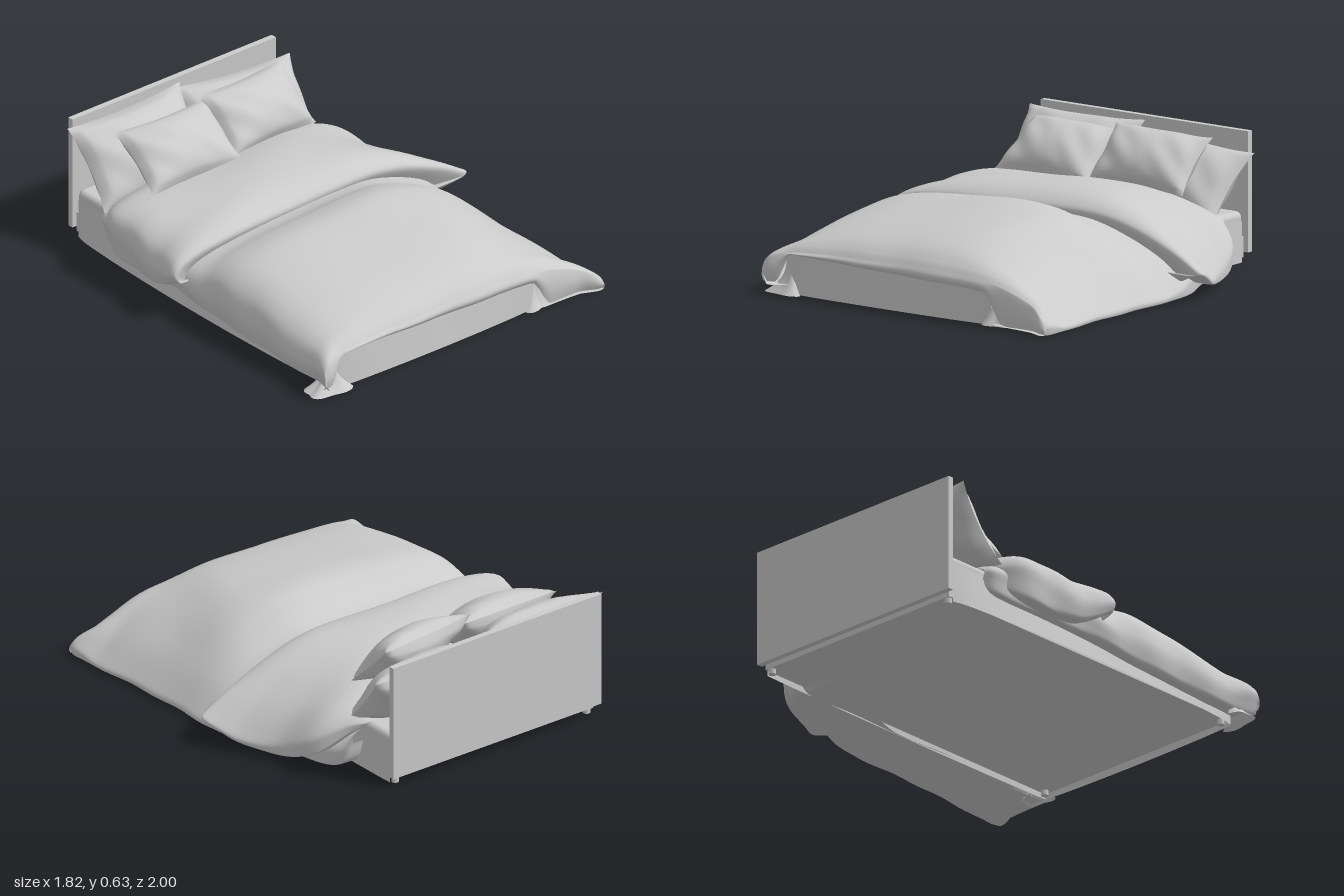
import * as THREE from 'three';
import { RoundedBoxGeometry } from 'three/addons/geometries/RoundedBoxGeometry.js';

const grey = new THREE.MeshStandardMaterial({ color: 0xcccccc, side: THREE.DoubleSide });
const smooth = THREE.MathUtils.smoothstep;

// Catmull-Rom through a list of equally long number rows, t in 0..1
function spline(rows, t) {
  const n = rows.length - 1;
  const i = Math.min(Math.floor(t * n), n - 1), f = t * n - i;
  const at = (k) => rows[Math.max(0, Math.min(n, k))];
  return rows[0].map((_, c) => {
    const [a, b, d, e] = [at(i - 1)[c], at(i)[c], at(i + 1)[c], at(i + 2)[c]];
    return b + 0.5 * f * (d - a + f * (2 * a - 5 * b + 4 * d - e + f * (3 * (b - d) + e - a)));
  });
}

// Sheet whose vertices are placed by rule(u, v), u left to right, v back to front
function sheet(nu, nv, rule) {
  const g = new THREE.PlaneGeometry(2, 2, nu, nv);
  const p = g.attributes.position;
  for (let i = 0; i < p.count; i++) {
    p.setXYZ(i, ...rule((p.getX(i) + 1) / 2, (1 - p.getY(i)) / 2));
  }
  g.computeVertexNormals();
  return g;
}

function add(parent, name, geometry, x = 0, y = 0, z = 0) {
  const m = new THREE.Mesh(geometry, grey);
  m.name = name;
  m.position.set(x, y, z);
  parent.add(m);
  return m;
}

// Arched cross-section with its ends turned in underneath: [across -1..1, height 0..1]
const arch = [[-0.86, -0.01], [-0.96, -0.02], [-0.99, 0.08], [-1, 0.3], [-0.95, 0.58], [-0.82, 0.78],
  [-0.58, 0.9], [-0.25, 0.96], [0.08, 1], [0.36, 0.95], [0.6, 0.75], [0.82, 0.43], [0.96, 0.14],
  [1, 0.02], [0.94, -0.02], [0.6, -0.01]];

// One cross-section point from a row [z, left, right, hemLeft, hemRight, top];
// the arch grows fuller towards the head between the two depths
function drape(rows, u, v, fullFrom, fullTo) {
  const [z, left, right, hemL, hemR, top] = spline(rows, v);
  const [s, t0] = spline(arch, u);
  const t = t0 > 0 ? Math.pow(t0, 1 - 0.55 * smooth(-z, fullFrom, fullTo)) : t0;
  const k = (s + 1) / 2;
  const hem = hemL + (hemR - hemL) * smooth(k, 0.1, 0.9);
  return { s, t, x: left + (right - left) * k, y: hem + t * (top - hem), z };
}

const duvetRows = [
  [-0.75, -0.74, 0.52, 0.17, 0.15, 0.27],
  [-0.68, -0.79, 0.57, 0.12, 0.02, 0.3],
  [-0.4, -0.81, 0.66, 0.11, 0.01, 0.32],
  [-0.15, -0.825, 0.77, 0.1, 0.01, 0.325],
  [0.0, -0.83, 0.79, 0.09, 0.01, 0.35],
  [0.12, -0.83, 0.79, 0.08, 0.01, 0.41],
  [0.25, -0.83, 0.79, 0.07, 0.01, 0.44],
  [0.45, -0.83, 0.8, 0.06, 0.01, 0.415],
  [0.7, -0.83, 0.82, 0.05, 0.01, 0.365],
  [0.87, -0.83, 0.835, 0.05, 0.01, 0.31],
  [0.95, -0.84, 0.84, 0.05, 0.01, 0.265],
  [0.985, -0.845, 0.83, 0.05, 0.01, 0.225],
];

const foldRows = [
  [-0.76, -0.68, 0.48, 0.24, 0.24, 0.27],
  [-0.7, -0.78, 0.54, 0.18, 0.19, 0.33],
  [-0.6, -0.85, 0.66, 0.13, 0.09, 0.385],
  [-0.42, -0.87, 0.74, 0.11, 0.03, 0.425],
  [-0.26, -0.88, 0.82, 0.12, 0.05, 0.435],
  [-0.15, -0.9, 0.88, 0.16, 0.1, 0.42],
  [-0.08, -0.91, 0.905, 0.2, 0.13, 0.385],
  [-0.055, -0.89, 0.87, 0.2, 0.13, 0.345],
  [-0.09, -0.81, 0.77, 0.15, 0.09, 0.28],
];

// Duvet: the front closes with a lip that rises between the two hanging corners
function duvetPoint(u, v) {
  const body = Math.min(v / 0.93, 1), lip = Math.max(0, (v - 0.93) / 0.07);
  const p = drape(duvetRows, u, body, -0.1, 0.3);
  const front = smooth(p.z, 0.8, 0.985);
  if (p.t > 0) p.y += front * 0.2 * (Math.pow(p.t, 0.55) - p.t);
  const gap = smooth(p.x, -0.79, -0.71) * (1 - smooth(p.x, 0.43, 0.55));
  const corner = 0.05 * (1 - smooth(p.x, -0.8, 0));
  const hem = corner + 0.01 + gap * (0.185 - corner - 0.03 * (p.x + 0.7));
  const y = p.y + lip * (Math.min(p.y, hem) - p.y);
  // soft waves on the hanging cloth and diagonal creases over the shoulder
  const side = smooth(Math.abs(p.s), 0.6, 0.95) * (1 - p.t * 0.5);
  const wave = 0.004 * side * Math.sin(p.z * 19 + p.y * 14);
  const crease = 0.006 * Math.sin(9 * (p.z + p.x * 1.2)) * Math.exp(-((p.s - 0.55) ** 2) * 8) * (1 - lip);
  return [p.x + wave * Math.sign(p.s), Math.max(0.003, y + crease),
    p.z + 0.012 * Math.sin(lip * Math.PI) - front * 0.035 * smooth(1 - Math.abs(p.s), 0.02, 0.15)
      + 0.003 * front * Math.sin(p.x * 17)];
}

function foldPoint(u, v) {
  const p = drape(foldRows, u, v, 0.2, 0.65);
  const side = smooth(Math.abs(p.s), 0.55, 0.95);
  const ripple = 0.006 * side * Math.sin(p.z * 22 + p.y * 9) * smooth(-p.z, 0.1, 0.4);
  return [p.x + ripple * Math.sign(p.s), Math.max(0.02, p.y + 0.004 * Math.sin(7 * p.x + 11 * p.z)),
    p.z - 0.025 * p.s + 0.004 * Math.sin(p.x * 8)];
}

// Pillow: two puffed sheets meeting in a seam with pointed corners
function pillow(parent, name, [w, h, depth], position, rotation) {
  const group = new THREE.Group();
  group.name = name;
  for (const face of [1, -1]) {
    add(group, face > 0 ? 'pillowFront' : 'pillowBack', sheet(28, 22, (u, v) => {
      const a = (2 * u - 1) * face, b = 1 - 2 * v;
      const ea = 1 - a * a, eb = 1 - b * b;
      const puff = Math.pow(ea * eb, 0.5);
      const wrinkle = 0.012 * Math.sin(a * 8 + b * 6 * face) * Math.sqrt(ea * eb) * Math.abs(a);
      return [a * w / 2 * (1 - 0.08 * eb), b * h / 2 * (1 - 0.08 * ea), face * (puff * depth / 2 + wrinkle)];
    }));
  }
  group.position.set(...position);
  group.rotation.set(...rotation);
  parent.add(group);
}

export function createModel() {
  const bed = new THREE.Group();
  bed.name = 'bed';
  const midX = -0.135;

  // Headboard, base and mattress
  add(bed, 'headboard', new THREE.BoxGeometry(1.23, 0.575, 0.03), midX, 0.3375, -0.985);
  add(bed, 'bedBase', new THREE.BoxGeometry(1.18, 0.1, 1.89), midX, 0.075, -0.025);
  add(bed, 'mattress', new RoundedBoxGeometry(1.18, 0.15, 1.79, 3, 0.03), midX, 0.17, -0.075);
  for (const x of [-0.7, 0.43]) {
    for (const z of [-0.95, 0.89]) {
      add(bed, 'leg', new THREE.CylinderGeometry(0.018, 0.018, 0.05, 12), x, 0.025, z);
    }
  }

  // Thin cloth skirt round both sides and the foot, each side bowing out to the floor by its flare
  const path = [[-0.73, -0.95], [-0.73, 0.925], [0.46, 0.925], [0.46, -0.95]];
  const outward = [[-1, 0, 0.045], [0, 1, 0.02], [1, 0, 0.01]];
  outward.forEach(([nx, nz, flare], i) => {
    const [a, b] = [path[i], path[i + 1]];
    add(bed, 'skirt', sheet(32, 6, (u, v) => {
      const out = flare * v * Math.sqrt(Math.sin(Math.PI * Math.min(1, Math.max(0, u))));
      return [a[0] + (b[0] - a[0]) * u + nx * out, 0.2 - 0.197 * v, a[1] + (b[1] - a[1]) * u + nz * out];
    }));
  });

  // Gathered skirt cloth spilling on to the floor at the foot corners
  for (const [x, dir, spread] of [[-0.745, -1, 0.11], [0.475, 1, 0.07]]) {
    add(bed, 'cornerCloth', sheet(24, 8, (u, v) => {
      const angle = Math.PI * (u * 1.1 - 0.35);
      const r = 0.025 + spread * v ** 3 + 0.012 * v * Math.sin(u * 16);
      return [x + dir * r * Math.cos(angle), 0.18 - 0.177 * v, 0.9 + 0.6 * r * Math.sin(angle)];
    }));
  }

  // Bedding
  add(bed, 'duvet', sheet(100, 110, duvetPoint));
  add(bed, 'foldedDuvet', sheet(100, 60, foldPoint));

  // Pillows: two upright behind, two leaning in front
  pillow(bed, 'backRightPillow', [0.68, 0.43, 0.23], [-0.455, 0.435, -0.82], [-0.66, 0, 0.01]);
  pillow(bed, 'backLeftPillow', [0.68, 0.41, 0.23], [0.185, 0.4, -0.825], [-0.72, 0, -0.08]);
  pillow(bed, 'frontRightPillow', [0.55, 0.36, 0.2], [-0.375, 0.485, -0.645], [-0.95, 0, -0.02]);
  pillow(bed, 'frontLeftPillow', [0.54, 0.34, 0.2], [0.125, 0.495, -0.68], [-0.8, 0.08, 0.04]);
  return bed;
}
